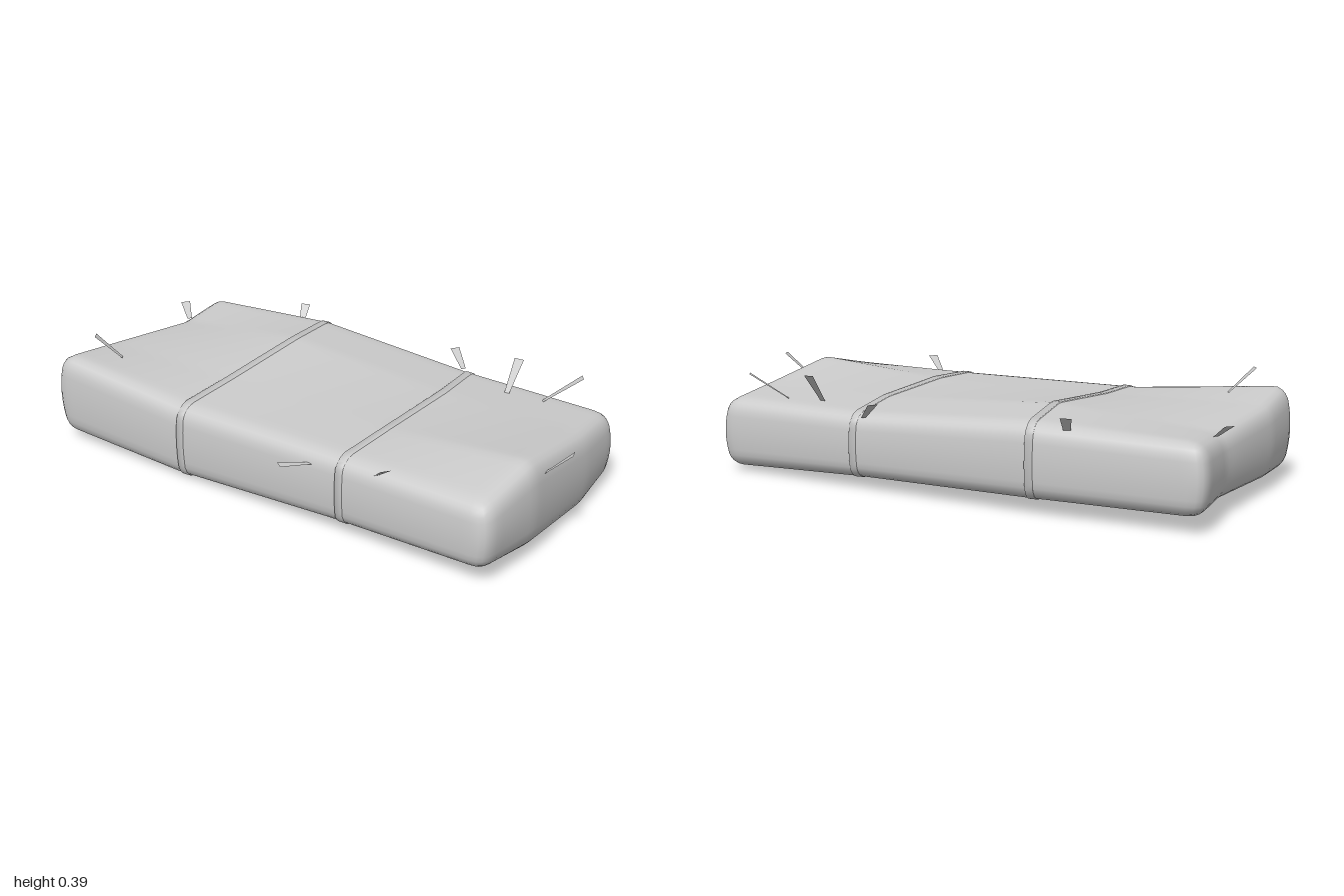
import * as THREE from 'three';
import { mergeVertices } from 'three/addons/utils/BufferGeometryUtils.js';

// Half sizes and edge radius of the bale before it is warped
const HX = 0.48, HY = 0.14, HZ = 0.95, R = 0.05;

// Control grid: columns run from -x to +x, rows from back to front
const US = [-1, -0.42, 0.42, 1];
const WS = [-1, -0.37, 0.35, 1];
const TOP = [
  [0.335, 0.30, 0.268, 0.285],
  [0.28, 0.29, 0.32, 0.30],
  [0.28, 0.287, 0.28, 0.262],
  [0.275, 0.335, 0.285, 0.262],
];
const BOTTOM = [
  [0.03, 0.04, 0.05, 0.055],
  [0.008, 0.02, 0.04, 0.055],
  [0.04, 0.03, 0.03, 0.045],
  [0.055, 0.03, 0.0, 0.02],
];
const SIDE_LEFT = [0.498, 0.525, 0.493, 0.458];
const SIDE_RIGHT = [-0.452, -0.452, -0.452, -0.461];
const END_BACK = [-0.94, -0.96, -0.945, -0.985];
const END_FRONT = [0.905, 0.925, 0.90, 0.865];

function lerpList(keys, values, t) {
  let i = 0;
  while (i < keys.length - 2 && t > keys[i + 1]) i++;
  return THREE.MathUtils.lerp(values[i], values[i + 1], (t - keys[i]) / (keys[i + 1] - keys[i]));
}

const heightAt = (grid, u, w) => lerpList(WS, grid.map((row) => lerpList(US, row, u)), w);

// Round a point of the plain box, then bend it to the control grid
function warp(p, lift) {
  const inner = p.clone().clamp(
    new THREE.Vector3(-HX + R, -HY + R, -HZ + R),
    new THREE.Vector3(HX - R, HY - R, HZ - R));
  const out = p.clone().sub(inner);
  if (out.lengthSq() > 0) out.setLength(Math.min(out.length() * 1.0001, R) + lift);
  const q = inner.add(out);
  const u = q.x / HX, v = q.y / HY, w = q.z / HZ;
  const side = (1 + u) / 2, end = (1 + w) / 2, mid = (1 + v) / 2;
  const bulge = v * v;
  return p.set(
    THREE.MathUtils.lerp(lerpList(WS, SIDE_RIGHT, w), lerpList(WS, SIDE_LEFT, w), side) - 0.012 * u * bulge,
    THREE.MathUtils.lerp(heightAt(BOTTOM, u, w), heightAt(TOP, u, w), mid),
    THREE.MathUtils.lerp(lerpList(US, END_BACK, u), lerpList(US, END_FRONT, u), end) - 0.022 * w ** 3 * bulge);
}

function warpedBox(depth, segX, segY, segZ, place, lift) {
  let geo = new THREE.BoxGeometry(2 * HX, 2 * HY, depth, segX, segY, segZ);
  geo.deleteAttribute('normal');
  geo.deleteAttribute('uv');
  geo = mergeVertices(geo, 1e-5);
  const pos = geo.attributes.position;
  const p = new THREE.Vector3();
  for (let i = 0; i < pos.count; i++) {
    p.fromBufferAttribute(pos, i);
    place(p);
    warp(p, lift);
    pos.setXYZ(i, p.x, p.y, p.z);
  }
  geo.computeVertexNormals();
  return geo;
}

// Flat tapered blade from a narrow root to a wide tip
function bladeGeometry(root, tip) {
  const a = new THREE.Vector3(...root), b = new THREE.Vector3(...tip);
  const across = b.clone().sub(a).cross(new THREE.Vector3(0, 1, 0)).normalize();
  const corners = [
    a.clone().addScaledVector(across, -0.009), a.clone().addScaledVector(across, 0.009),
    b.clone().addScaledVector(across, 0.018), b.clone().addScaledVector(across, -0.018),
  ];
  const geo = new THREE.BufferGeometry().setFromPoints(corners);
  geo.setIndex([0, 1, 2, 0, 2, 3]);
  geo.computeVertexNormals();
  return geo;
}

export function createModel() {
  const model = new THREE.Group();
  model.name = 'strawBale';
  const material = new THREE.MeshStandardMaterial({ color: 0xcccccc });
  const thin = new THREE.MeshStandardMaterial({ color: 0xcccccc, side: THREE.DoubleSide });
  const add = (geo, mat, name) => {
    const mesh = new THREE.Mesh(geo, mat);
    mesh.name = name;
    model.add(mesh);
  };

  // Soft, lumpy body
  add(warpedBox(2 * HZ, 32, 12, 64, () => {}, 0), material, 'bale');

  // Two flat bindings, slightly askew
  for (const z of [0.36, -0.34]) {
    add(warpedBox(0.028, 40, 14, 1, (p) => { p.z += z - 0.04 * p.x; }, 0.004), material, 'binding');
  }

  // Loose straws: root, tip
  const straws = [
    [[0.26, 0.265, -0.92], [0.305, 0.31, -0.98]],
    [[-0.28, 0.31, -0.76], [-0.335, 0.395, -0.835]],
    [[0.475, 0.265, -0.52], [0.53, 0.33, -0.54]],
    [[-0.445, 0.235, 0.235], [-0.535, 0.247, 0.175]],
    [[-0.44, 0.265, 0.49], [-0.49, 0.32, 0.56]],
    [[0.365, 0.265, 0.62], [0.445, 0.36, 0.735]],
    [[0.35, 0.265, 0.49], [0.44, 0.37, 0.485]],
    [[0.485, 0.255, 0.23], [0.525, 0.31, 0.165]],
    [[-0.125, 0.27, 0.905], [-0.097, 0.35, 0.99]],
  ];
  for (const [root, tip] of straws) add(bladeGeometry(root, tip), thin, 'straw');

  return model;
}
